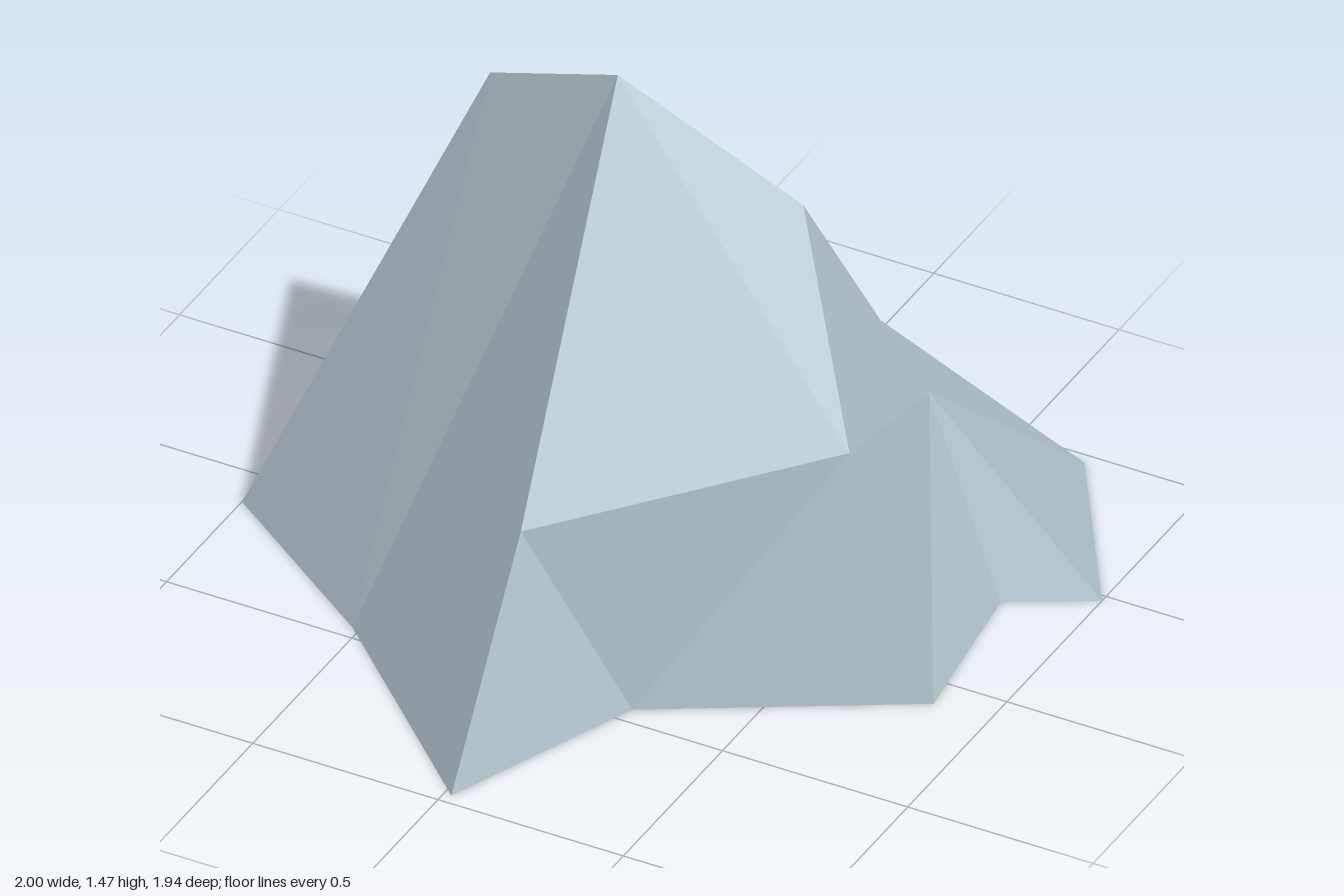
import * as THREE from 'three';

// Corner points of the rock: A-I run round the ground outline, J-P form the upper ridges, T is the peak.
const points = {
  A: [-1, 0, 0.12], B: [-0.52, 0, 0.46], C: [0.02, 0, 0.97],
  D: [0.23, 0, 0.45], E: [0.85, 0, 0.09], F: [0.79, 0, -0.36],
  G: [1, 0, -0.48], H: [0.69, 0, -0.97], I: [-0.5, 0, -0.39],
  J: [-0.48, 1.24, -0.16], K: [0.37, 1.14, -0.15], L: [0.02, 0.55, 0.62],
  M: [0.65, 0.69, 0.14], N: [0.56, 0.49, -0.43], P: [0.32, 0.53, -0.6],
  T: [-0.05, 1.47, 0],
};

// Facets by side, corners counter-clockwise from outside.
const sides = {
  frontSlope: 'ABJ BTJ BCL BLT',
  frontHollow: 'CDL DML DEM LMT TMK',
  sideButtress: 'ENM MNK EFN FGN GHN',
  backSlope: 'NHP KNP HIP IJP IAJ',
  crown: 'TKJ JKP',
};

// Unshared corners give every facet a hard edge.
function facets(list) {
  const positions = list.split(' ').flatMap(face => [...face].flatMap(p => points[p]));
  const geometry = new THREE.BufferGeometry();
  geometry.setAttribute('position', new THREE.Float32BufferAttribute(positions, 3));
  geometry.computeVertexNormals();
  return geometry;
}

export function createModel() {
  const rock = new THREE.Group();
  rock.name = 'rock';
  const stone = new THREE.MeshStandardMaterial({
    name: 'pale blue grey stone', color: 0xb3c5ce, flatShading: true, side: THREE.DoubleSide,
  });
  // The shell is hollow and open underneath.
  for (const [name, list] of Object.entries(sides)) {
    const mesh = new THREE.Mesh(facets(list), stone);
    mesh.name = name;
    rock.add(mesh);
  }
  return rock;
}
